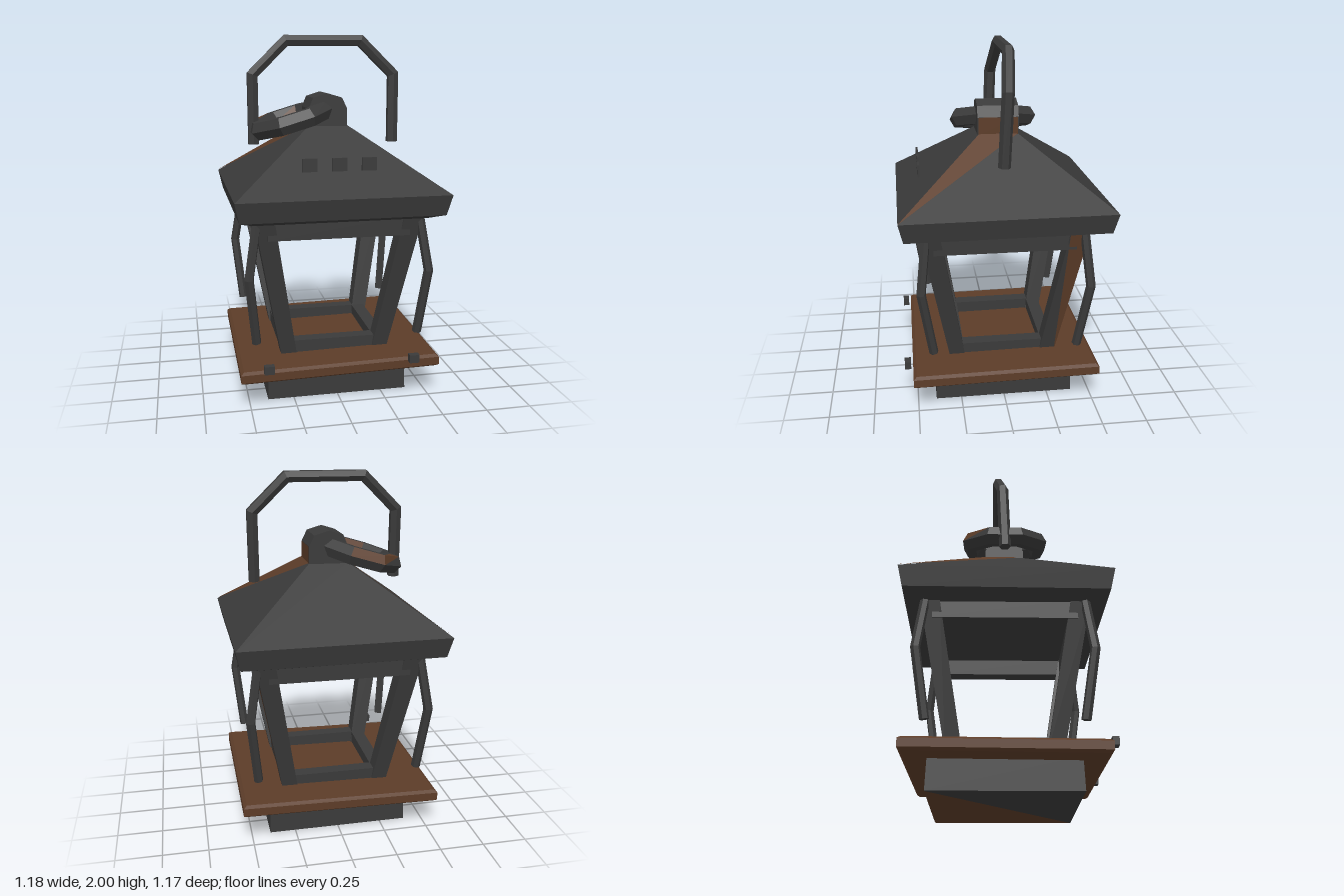
import * as THREE from 'three';

const iron = new THREE.MeshStandardMaterial({ color: 0x3a3a3a });
iron.name = 'dark iron';
const rust = new THREE.MeshStandardMaterial({ color: 0x5c3c28 });
rust.name = 'rusty brown';

const V = (x, y, z) => new THREE.Vector3(x, y, z);

// Flat-shaded geometry from convex polygons, each fanned into triangles
function facets(polygons) {
  const pts = [];
  for (const p of polygons)
    for (let i = 1; i < p.length - 1; i++) pts.push(p[0], p[i], p[i + 1]);
  const geo = new THREE.BufferGeometry().setFromPoints(pts);
  geo.computeVertexNormals();
  return geo;
}

// Closed solid through a stack of rings, counter-clockwise about the travel direction
function loft(rings) {
  const polys = [[...rings[0]].reverse(), rings[rings.length - 1]];
  for (let k = 0; k < rings.length - 1; k++) {
    const lo = rings[k], hi = rings[k + 1], n = lo.length;
    for (let i = 0; i < n; i++) {
      const j = (i + 1) % n;
      polys.push([lo[i], lo[j], hi[j], hi[i]]);
    }
  }
  return facets(polys);
}

// Horizontal rectangle: corners (+x+z), (+x-z), (-x-z), (-x+z)
const rect = (y, hx, hz = hx, cx = 0, cz = 0) =>
  [[1, 1], [1, -1], [-1, -1], [-1, 1]].map(([a, b]) => V(cx + a * hx, y, cz + b * hz));

// Mitred bar along a polyline lying in the plane with normal b
function bar(path, radius, b, sides = 6) {
  const rings = path.map((p, k) => {
    const t0 = (k ? p.clone().sub(path[k - 1]) : path[1].clone().sub(p)).normalize();
    const t1 = (k < path.length - 1 ? path[k + 1].clone().sub(p) : t0.clone()).normalize();
    const t = t0.clone().add(t1).normalize();
    const n = b.clone().cross(t).normalize();
    const stretch = 1 / t.dot(t0);
    return Array.from({ length: sides }, (_, i) => {
      const a = (i + 0.5) / sides * Math.PI * 2;
      return p.clone().addScaledVector(n, Math.cos(a) * radius * stretch)
        .addScaledVector(b, Math.sin(a) * radius);
    });
  });
  return loft(rings);
}

export function createModel() {
  const model = new THREE.Group();
  model.name = 'lantern';
  const add = (name, geo, mat, parent = model) => {
    const mesh = new THREE.Mesh(geo, mat);
    mesh.name = name;
    parent.add(mesh);
    return mesh;
  };
  const box = (name, size, pos, parent) => {
    const mesh = add(name, new THREE.BoxGeometry(...size), iron, parent);
    mesh.position.set(...pos);
    return mesh;
  };

  // Base block, half of its underside rusted
  const foot = rect(0.002, 0.395);
  add('base', loft([foot, rect(0.18, 0.39)]), iron);
  add('baseRust', facets([[foot[2], foot[1], foot[0]]]), rust).position.y = -0.002;

  // Slightly crooked chamfered plate
  const plate = add('plate', loft([
    rect(-0.035, 0.535, 0.505), rect(-0.022, 0.553, 0.523),
    rect(0.022, 0.553, 0.523), rect(0.035, 0.535, 0.505),
  ]), rust);
  plate.position.y = 0.203;
  plate.rotation.set(0.01, 0, 0.018);

  // Knobs at the front edge of the plate
  for (const x of [-0.405, 0.395]) box('knob', [0.055, 0.045, 0.035], [x, 0.248, 0.552]);

  // Flaring corner posts and bent outer rods
  for (const sx of [-1, 1]) for (const sz of [-1, 1]) {
    const lo = rect(0.22, 0.044, 0.044, sx * 0.262, sz * 0.262);
    const hi = rect(1.02, 0.053, 0.053, sx * 0.405, sz * 0.405);
    add('post', loft([lo, hi]), iron);
    if (sx > 0 && sz < 0)
      add('postRust', facets([[lo[1], hi[1], hi[0]]]), rust).position.x = 0.003;
    const path = [[0.455, 0.345, 0.405], [0.495, 0.72, 0.465], [0.445, 1.03, 0.43]]
      .map(([x, y, z]) => V(sx * x, y, sz * z));
    add('rod', bar(path, 0.026, V(sz, 0, -sx).normalize()), iron);
  }

  // Rails between the posts
  for (let i = 0; i < 4; i++) {
    const side = new THREE.Group();
    side.name = 'rails';
    side.rotation.y = i * Math.PI / 2;
    box('bottomRail', [0.5, 0.08, 0.075], [0, 0.26, 0.265], side);
    box('topRail', [0.78, 0.11, 0.09], [0, 0.975, 0.4], side);
    model.add(side);
  }

  // Roof with rust patches on two slopes
  const roof = new THREE.Group();
  roof.name = 'roof';
  roof.rotation.y = 0.012;
  model.add(roof);
  const eave = rect(1.157, 0.578), peak = rect(1.495, 0.11);
  add('roofShell', loft([rect(1.015, 0.47), rect(1.045, 0.553), eave, peak]), iron, roof);
  for (const [i, j, s] of [[0, 1, 1], [2, 3, -1]])
    add('roofRust', facets([[eave[i], peak[j], peak[i]]]), rust, roof)
      .position.set(s * 0.003, 0.003, 0);

  // Small plates standing in front of the roof
  for (const x of [-0.165, -0.005, 0.155])
    box('ventPlate', [0.08, 0.07, 0.012], [x, 1.32, 0.45]);

  // Cap with faceted round top
  const outline = [[0.11, 1.48], [0.11, 1.59], [0.08, 1.65], [-0.005, 1.675],
    [-0.085, 1.65], [-0.11, 1.59], [-0.11, 1.48]];
  add('cap', loft([-0.115, 0.115].map(z => outline.map(([x, y]) => V(x, y, z)))), iron);
  add('capRust', facets([[V(0.113, 1.49, 0.11), V(0.113, 1.49, -0.11),
    V(0.113, 1.59, -0.11), V(0.113, 1.59, 0.11)]]), rust);

  // Tilted eight-sided ring, with rust on a few of its facets
  const sides = 6, segments = 8;
  const ringGeo = new THREE.TorusGeometry(0.207, 0.057, sides, segments)
    .rotateZ(Math.PI / 8).rotateX(Math.PI / 2).toNonIndexed();
  ringGeo.computeVertexNormals();
  ringGeo.clearGroups();
  const rusted = new Set(['4:8', '4:11', '5:10', '5:11', '1:6', '1:7', '0:6', '5:7']);
  for (let j = 0; j < sides; j++) for (let i = 0; i < segments; i++) for (let k = 0; k < 2; k++)
    ringGeo.addGroup((j * segments + i) * 6 + k * 3, 3, rusted.has(`${i}:${j * 2 + k}`) ? 1 : 0);
  const ring = add('ring', ringGeo, [iron, rust]);
  ring.position.set(-0.195, 1.525, 0);
  ring.rotation.z = 0.29;

  // Carrying handle, leaning back a little
  const handle = [[-0.41, 1.385, 0], [-0.41, 1.775, -0.015], [-0.215, 1.965, -0.038],
    [0.22, 1.965, -0.038], [0.41, 1.775, -0.012], [0.405, 1.385, 0.005]].map(p => V(...p));
  add('handle', bar(handle, 0.034, V(0, 0.06, 1).normalize()), iron);

  return model;
}
